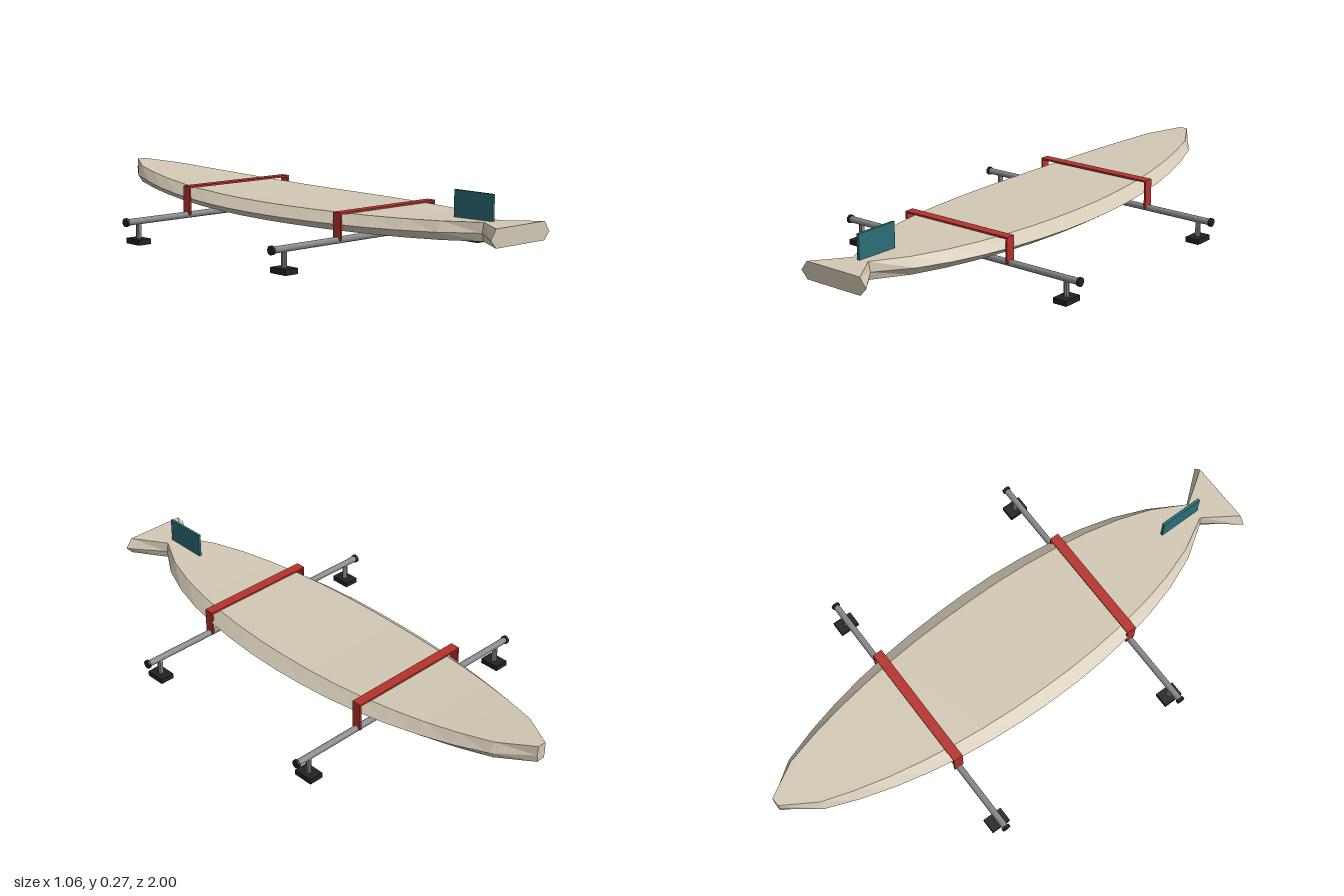
import * as THREE from 'three';

const material = (color) => new THREE.MeshStandardMaterial({ color, flatShading: true });
const boardMat = material(0xd2c8b4);
const strapMat = material(0xb5332b);
const barMat = material(0x85878a);
const rubberMat = material(0x222222);
const finMat = material(0x2a6e78);

function add(parent, name, geometry, mat, x = 0, y = 0, z = 0) {
  const mesh = new THREE.Mesh(geometry, mat);
  mesh.name = name;
  mesh.position.set(x, y, z);
  parent.add(mesh);
  return mesh;
}

// Board: six-sided sections lofted from nose (-z) to swallow tail (+z)
function boardGeometry() {
  const halfWidths = [0.02, 0.11, 0.155, 0.19, 0.217, 0.237, 0.251, 0.259, 0.262,
    0.26, 0.251, 0.235, 0.211, 0.176, 0.125, 0.042, 0.145];
  const thickness = 0.063, railHeight = 0.028, deckRatio = 0.82;
  const positions = [], index = [];
  halfWidths.forEach((w, i) => {
    const z = -1 + i * 0.125;
    const bottom = 0.107 + (z < 0 ? 0.053 : 0.011) * z * z;
    const d = w * deckRatio, top = bottom + thickness, rail = bottom + railHeight;
    positions.push(d, top, z, -d, top, z, -w, rail, z, -d, bottom, z, d, bottom, z, w, rail, z);
  });
  for (let i = 0; i < halfWidths.length - 1; i++) {
    for (let k = 0; k < 6; k++) {
      const a = i * 6 + k, b = i * 6 + (k + 1) % 6;
      index.push(a, b, b + 6, a, b + 6, a + 6);
    }
  }
  // Close the nose and the tail
  const last = (halfWidths.length - 1) * 6;
  for (let k = 1; k < 5; k++) {
    index.push(0, k + 1, k);
    index.push(last, last + k, last + k + 1);
  }
  const geometry = new THREE.BufferGeometry();
  geometry.setAttribute('position', new THREE.Float32BufferAttribute(positions, 3));
  geometry.setIndex(index);
  const flat = geometry.toNonIndexed();
  flat.computeVertexNormals();
  return flat;
}

// Cross bar with end caps and two feet
function rackBar(z) {
  const bar = new THREE.Group();
  bar.name = 'rackBar';
  bar.position.z = z;
  const tube = new THREE.CylinderGeometry(0.012, 0.012, 1.04, 12).rotateZ(Math.PI / 2);
  const cap = new THREE.CylinderGeometry(0.016, 0.016, 0.01, 12).rotateZ(Math.PI / 2);
  const post = new THREE.CylinderGeometry(0.01, 0.01, 0.065, 10);
  const pad = new THREE.BoxGeometry(0.055, 0.02, 0.075);
  add(bar, 'crossTube', tube, barMat, 0, 0.083, 0);
  for (const side of [-1, 1]) {
    add(bar, 'endCap', cap, rubberMat, side * 0.525, 0.083, 0);
    add(bar, 'footPost', post, barMat, side * 0.47, 0.0475, 0);
    add(bar, 'footPad', pad, rubberMat, side * 0.47, 0.01, 0);
  }
  return bar;
}

// Strap: flat band over the deck with two legs down to the bar
function strap(z, halfWidth, top) {
  const group = new THREE.Group();
  group.name = 'strap';
  group.position.z = z;
  const t = 0.007, width = 0.037, base = 0.083;
  add(group, 'strapBand', new THREE.BoxGeometry(halfWidth * 2, t, width), strapMat, 0, top - t / 2, 0);
  const leg = new THREE.BoxGeometry(t, top - base - t, width);
  for (const side of [-1, 1]) {
    add(group, 'strapLeg', leg, strapMat, side * (halfWidth - t / 2), (top - t + base) / 2, 0);
  }
  return group;
}

export function createModel() {
  const model = new THREE.Group();
  model.name = 'boardOnRack';
  add(model, 'board', boardGeometry(), boardMat);
  add(model, 'fin', new THREE.BoxGeometry(0.01, 0.1, 0.167), finMat, 0, 0.218, 0.802);
  model.add(rackBar(-0.395), rackBar(0.395));
  model.add(strap(-0.395, 0.247, 0.191), strap(0.395, 0.232, 0.178));
  return model;
}
